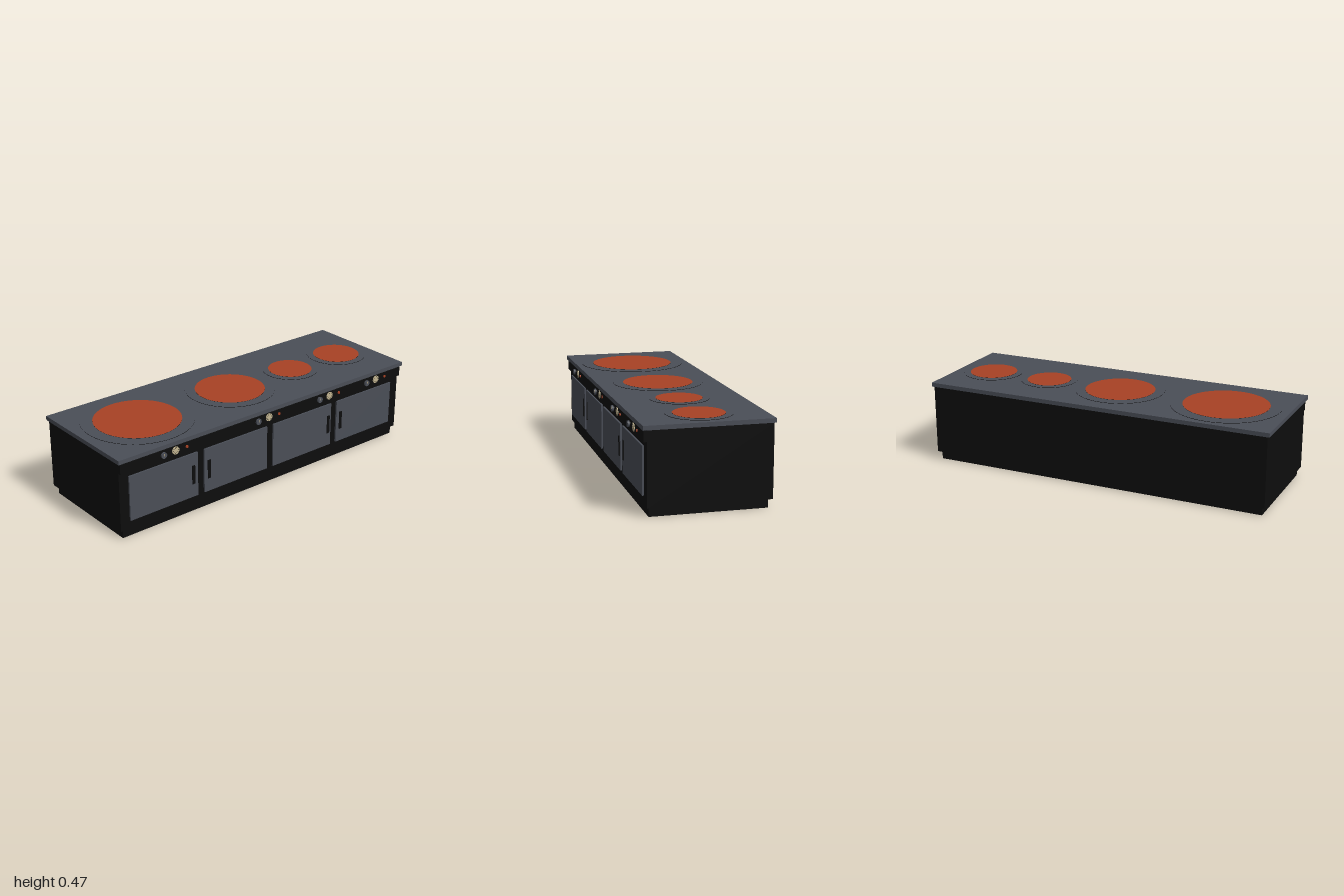
import * as THREE from 'three';

const mat = (name, color) => {
  const m = new THREE.MeshStandardMaterial({ color });
  m.name = name;
  return m;
};

export function createModel() {
  const black = mat('black enamel', 0x0d0d0d);
  const steel = mat('grey steel', 0x4a4e57);
  const red = mat('hot red', 0xa84224);
  const cream = mat('cream', 0xc2b490);

  const model = new THREE.Group();
  model.name = 'stove';

  const add = (parent, name, geometry, material) => {
    const mesh = new THREE.Mesh(geometry, material);
    mesh.name = name;
    parent.add(mesh);
    return mesh;
  };

  // Box given by its minimum and maximum on each axis
  const box = (parent, name, material, x0, x1, y0, y1, z0, z1) =>
    add(parent, name, new THREE.BoxGeometry(x1 - x0, y1 - y0, z1 - z0), material)
      .position.set((x0 + x1) / 2, (y0 + y1) / 2, (z0 + z1) / 2);

  // Upright disc between two heights
  const plate = (parent, name, materials, r, x, y0, y1) =>
    add(parent, name, new THREE.CylinderGeometry(r, r, y1 - y0, 64), materials)
      .position.set(x, (y0 + y1) / 2, -0.006);

  // Disc facing the front between two depths
  const disc = (parent, name, material, r, x, z0, z1) => {
    const g = new THREE.CylinderGeometry(r, r, z1 - z0, 24).rotateX(Math.PI / 2);
    add(parent, name, g, material).position.set(x, 0.409, (z0 + z1) / 2);
  };

  // Cabinet
  box(model, 'plinth', black, -0.97, 0.97, 0, 0.048, -0.316, 0.298);
  box(model, 'cabinet', black, -0.988, 0.988, 0.048, 0.44, -0.335, 0.31);
  box(model, 'controlPanel', black, -0.988, 0.988, 0.38, 0.433, 0.31, 0.327);
  box(model, 'worktop', steel, -1, 1, 0.44, 0.463, -0.342, 0.333);

  // Doors: left edge and handle position
  [[-0.932, -0.53], [-0.457, -0.427], [0.019, 0.43], [0.494, 0.525]].forEach(([x, hx]) => {
    const door = new THREE.Group();
    door.name = 'door';
    box(door, 'doorPanel', steel, x, x + 0.432, 0.096, 0.349, 0.31, 0.319);
    box(door, 'doorHandle', black, hx - 0.009, hx + 0.009, 0.173, 0.28, 0.319, 0.323);
    model.add(door);
  });

  // Burners, each with its own controls below: centre and radius
  [[-0.648, 0.236], [-0.022, 0.195], [0.424, 0.125], [0.79, 0.135]].forEach(([x, r]) => {
    const burner = new THREE.Group();
    burner.name = 'burner';
    plate(burner, 'burnerRim', [black, steel, steel], r * 1.285, x, 0.463, 0.4652);
    plate(burner, 'hotPlate', [black, red, red], r, x, 0.4652, 0.4662);
    model.add(burner);

    const controls = new THREE.Group();
    controls.name = 'controls';
    disc(controls, 'dial', cream, 0.022, x, 0.327, 0.331);
    for (let i = 0; i < 10; i++) {
      // Marks around the dial
      const a = (i / 10) * Math.PI * 2;
      const mark = add(controls, 'dialMark', new THREE.BoxGeometry(0.006, 0.002, 0.0006), black);
      mark.position.set(x + Math.cos(a) * 0.016, 0.409 + Math.sin(a) * 0.016, 0.3312);
      mark.rotation.z = a;
    }
    disc(controls, 'knobBase', black, 0.012, x - 0.08, 0.327, 0.332);
    disc(controls, 'knob', steel, 0.017, x - 0.08, 0.332, 0.342);
    box(controls, 'knobPointer', cream, x - 0.082, x - 0.078, 0.406, 0.42, 0.342, 0.3426);
    disc(controls, 'indicatorLight', red, 0.008, x + 0.072, 0.327, 0.332);
    model.add(controls);
  });

  return model;
}
